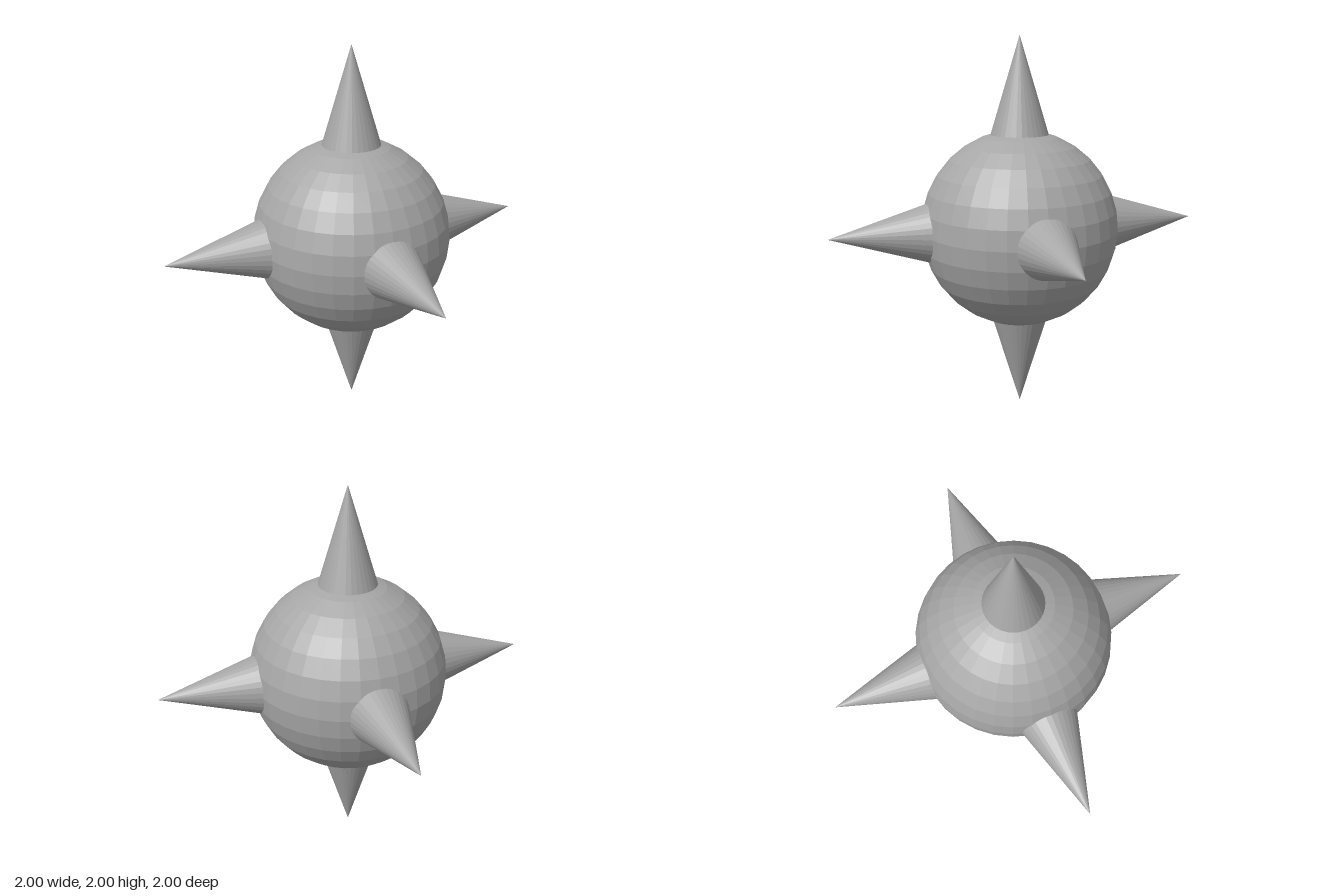
import * as THREE from 'three';

export function createModel() {
  const model = new THREE.Group();
  model.name = 'spikedBall';

  const grey = new THREE.MeshStandardMaterial({ color: 0xa6a6a6, flatShading: true });
  grey.name = 'grey';

  // Faceted ball at the centre
  const ball = new THREE.Mesh(new THREE.SphereGeometry(0.522, 32, 16), grey);
  ball.name = 'ball';
  ball.position.y = 1;
  model.add(ball);

  // Six spikes along the axes, their bases sunk into the ball
  const tip = 1, base = 0.46, slope = 0.302;
  const length = tip - base;
  const spikeGeometry = new THREE.ConeGeometry(length * slope, length, 32);
  spikeGeometry.translate(0, base + length / 2, 0);

  const up = new THREE.Vector3(0, 1, 0);
  const directions = {
    topSpike: [0, 1, 0],
    bottomSpike: [0, -1, 0],
    leftSpike: [1, 0, 0],
    rightSpike: [-1, 0, 0],
    frontSpike: [0, 0, 1],
    backSpike: [0, 0, -1],
  };
  for (const [name, direction] of Object.entries(directions)) {
    const spike = new THREE.Mesh(spikeGeometry, grey);
    spike.name = name;
    spike.position.y = 1;
    spike.quaternion.setFromUnitVectors(up, new THREE.Vector3(...direction));
    model.add(spike);
  }

  return model;
}
